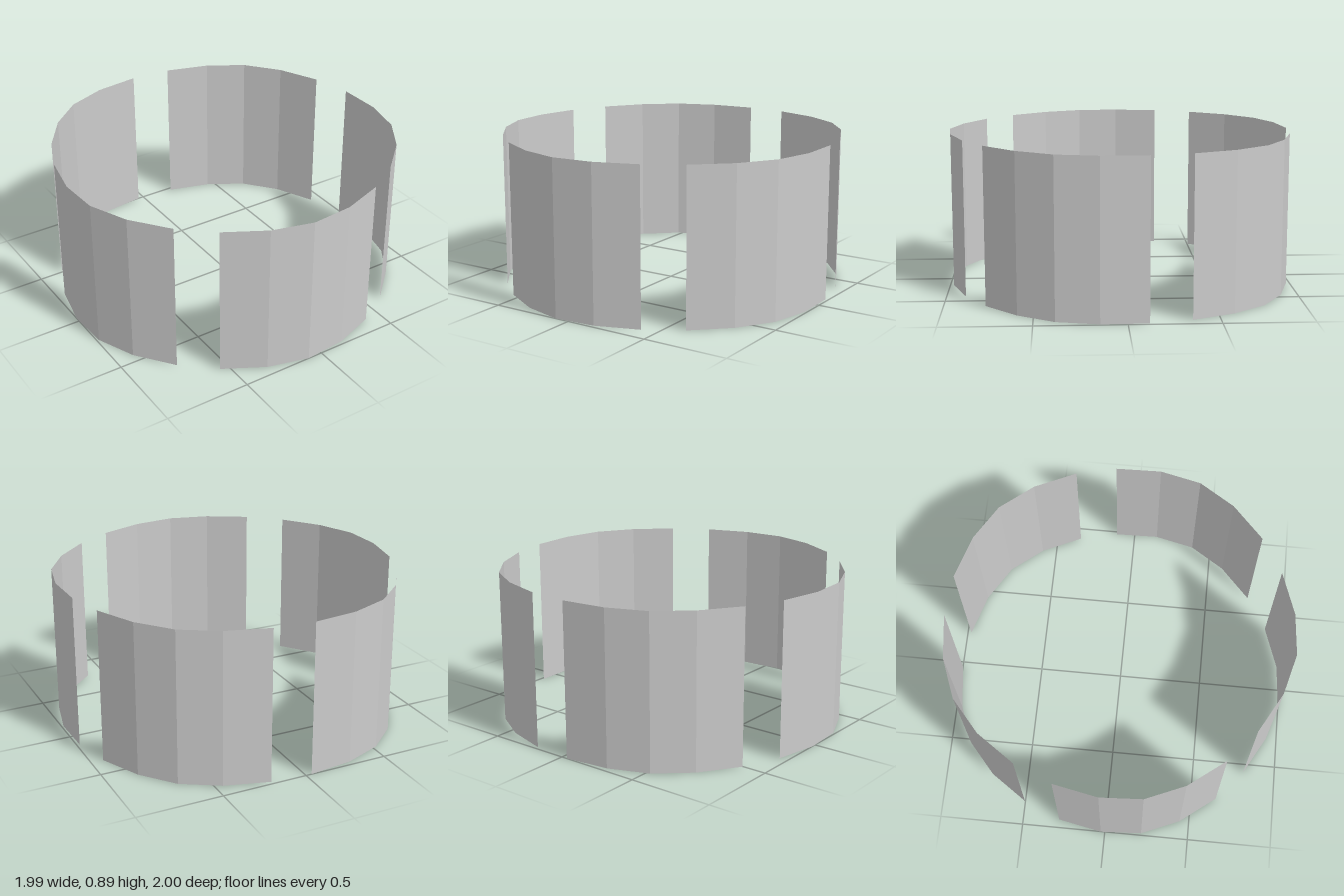
import * as THREE from 'three';

const HEIGHT = 0.895;
const HALF_WIDTH = 0.48;
const PANELS = 5;

// Distance from the ring's axis at the panel's ends, quarters and middle
const DEPTHS = [0.864, 0.972, 1.014, 0.972, 0.864];

// A flat sheet of four strips, bowed outward along its width
function bentPanel() {
  const geometry = new THREE.PlaneGeometry(HALF_WIDTH * 2, HEIGHT, DEPTHS.length - 1, 1);
  const p = geometry.attributes.position;
  for (let i = 0; i < p.count; i++) p.setZ(i, DEPTHS[i % DEPTHS.length]);
  geometry.translate(0, HEIGHT / 2, 0);
  geometry.computeVertexNormals();
  return geometry;
}

export function createModel() {
  const model = new THREE.Group();
  model.name = 'panelRing';
  const material = new THREE.MeshStandardMaterial({
    color: 0xcccccc, flatShading: true, side: THREE.DoubleSide,
  });
  const geometry = bentPanel();

  // Five equal panels around the axis, with gaps between them
  const startAngle = THREE.MathUtils.degToRad(-4.9);
  for (let i = 0; i < PANELS; i++) {
    const panel = new THREE.Mesh(geometry, material);
    panel.name = `curvedPanel${i + 1}`;
    panel.rotation.y = startAngle + (i * Math.PI * 2) / PANELS;
    panel.position.z = -0.011;
    model.add(panel);
  }
  return model;
}
